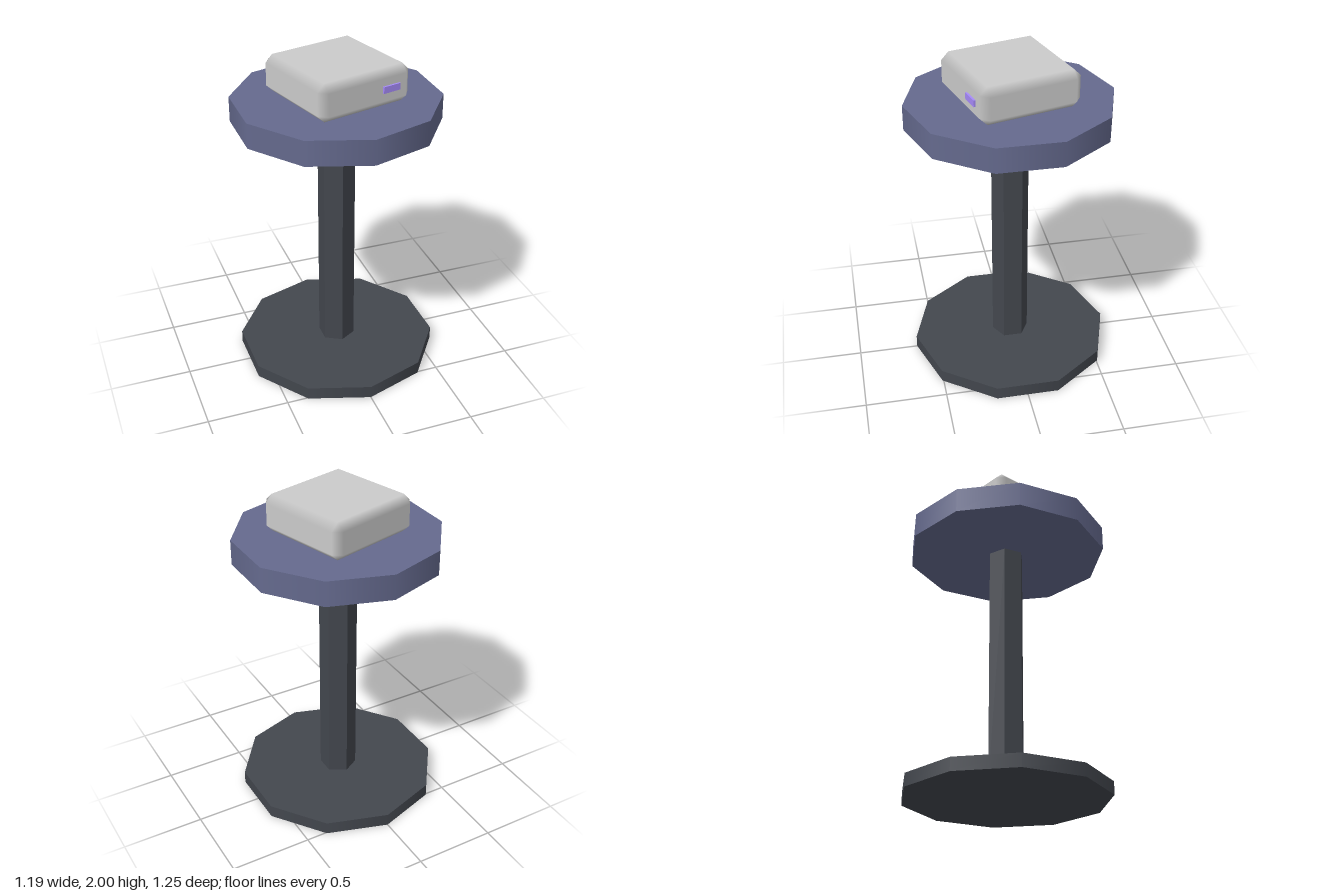
import * as THREE from 'three';
import { ConvexGeometry } from 'three/addons/geometries/ConvexGeometry.js';

const material = (color, flatShading = false) => new THREE.MeshStandardMaterial({ color, flatShading });

// Prism standing on y = bottom, with a corner pointing to the front
function prism(name, radius, bottom, top, sides, mat) {
  const mesh = new THREE.Mesh(new THREE.CylinderGeometry(radius, radius, top - bottom, sides), mat);
  mesh.name = name;
  mesh.position.y = (bottom + top) / 2;
  return mesh;
}

// Box with single chamfers, flat on its six faces and shaded softly across the chamfers
function chamferedBox(w, h, d, c) {
  const half = [w / 2, h / 2, d / 2];
  const points = [];
  for (const sx of [-1, 1]) for (const sy of [-1, 1]) for (const sz of [-1, 1]) {
    for (let axis = 0; axis < 3; axis++) {
      const p = half.map((v, i) => (i === axis ? v : v - c));
      points.push(new THREE.Vector3(sx * p[0], sy * p[1], sz * p[2]));
    }
  }
  const geometry = new ConvexGeometry(points);
  const { position, normal } = geometry.attributes;
  for (let i = 0; i < position.count; i++) {
    const v = position.array.slice(i * 3, i * 3 + 3);
    const n = [0, 1, 2].map(a => (Math.abs(v[a]) > half[a] - c / 2 ? Math.sign(v[a]) : 0));
    normal.setXYZ(i, ...n);
  }
  return geometry;
}

export function createModel() {
  const model = new THREE.Group();
  model.name = 'pedestalTable';
  const dark = material(0x43474e);

  // Foot, post and table top
  model.add(prism('base', 0.627, 0, 0.08, 10, dark));
  model.add(prism('post', 0.115, 0.08, 1.615, 6, material(0x43474e, true)));
  model.add(prism('tableTop', 0.627, 1.615, 1.77, 10, material(0x656a8e)));

  // Small device, turned on the table
  const device = new THREE.Group();
  device.name = 'device';
  device.position.y = 1.885;
  device.rotation.y = Math.PI / 12;
  const body = new THREE.Mesh(chamferedBox(0.625, 0.23, 0.625, 0.046), material(0xcccccc));
  body.name = 'deviceBody';
  const light = new THREE.Mesh(new THREE.BoxGeometry(0.115, 0.04, 0.024), material(0xa78bfa));
  light.name = 'indicatorLight';
  light.position.set(0.157, 0.003, 0.312);
  device.add(body, light);
  model.add(device);
  return model;
}
